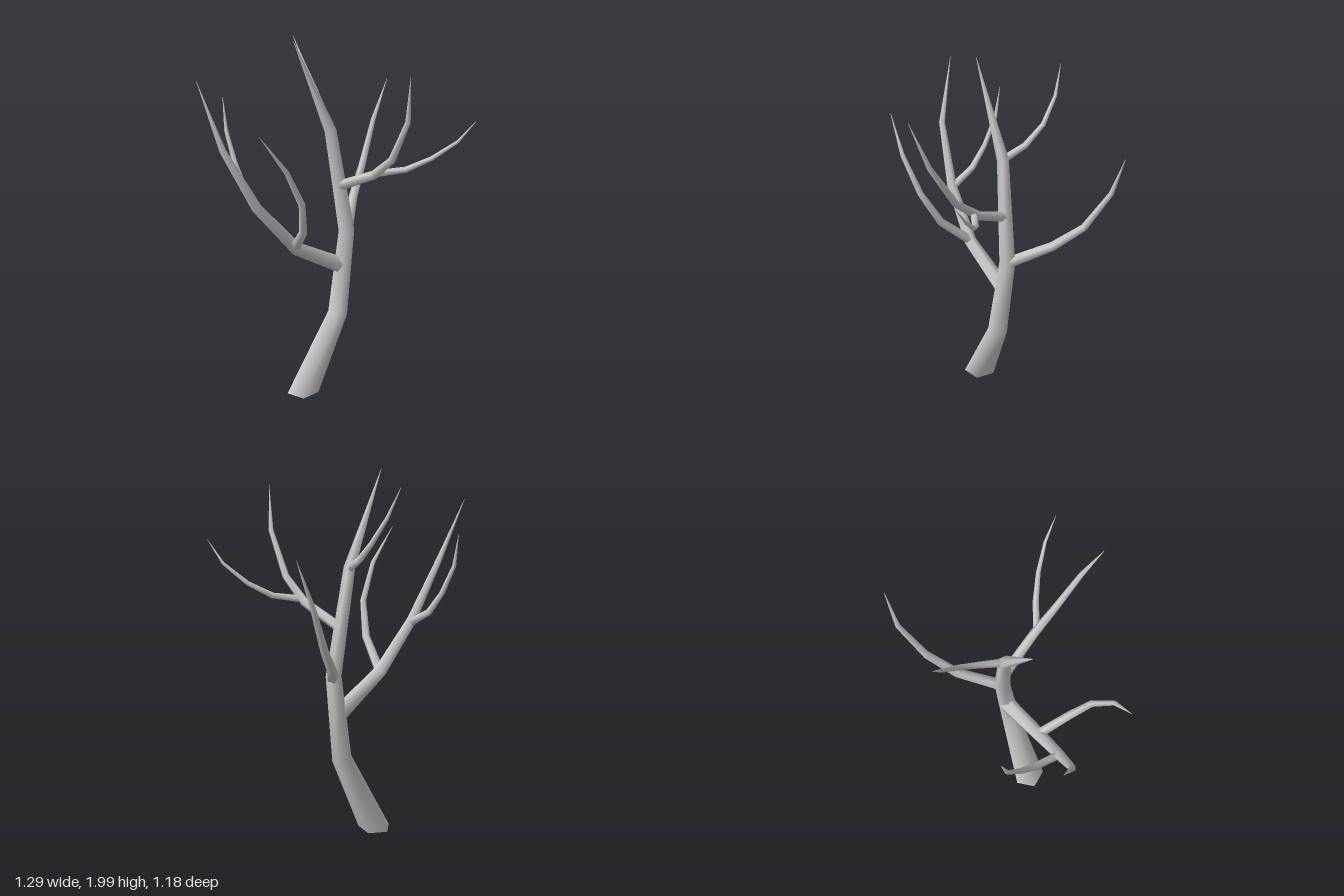
import * as THREE from 'three';

const SIDES = 5;
const bark = new THREE.MeshStandardMaterial({ color: 0xcccccc });

// Tapered five-sided limb through [x, y, z, radius] points, ending in a sharp tip
function limb(name, points, phase = 0, firstNormal = null) {
  const centres = points.map(([x, y, z]) => new THREE.Vector3(x, y, z));
  const last = points.length - 1;
  const pos = [], index = [];
  let ref = new THREE.Vector3(1, 0, 0);
  centres.forEach((c, i) => {
    // each ring lies across the average of its two neighbouring directions
    const n = new THREE.Vector3();
    if (i > 0) n.add(c.clone().sub(centres[i - 1]).normalize());
    if (i < last) n.add(centres[i + 1].clone().sub(c).normalize());
    if (i === 0 && firstNormal) n.copy(firstNormal);
    n.normalize();
    if (i === 0 && Math.abs(n.x) > 0.8) ref.set(0, 0, 1);
    const u = ref.clone().addScaledVector(n, -ref.dot(n)).normalize();
    const v = n.clone().cross(u);
    ref = u;
    for (let k = 0; k < SIDES; k++) {
      const a = phase + (k / SIDES) * Math.PI * 2;
      const p = c.clone()
        .addScaledVector(u, Math.cos(a) * points[i][3])
        .addScaledVector(v, Math.sin(a) * points[i][3]);
      pos.push(p.x, p.y, p.z);
    }
  });
  for (let i = 0; i < last; i++) {
    for (let k = 0; k < SIDES; k++) {
      const a = i * SIDES + k, b = i * SIDES + (k + 1) % SIDES;
      index.push(a, b, b + SIDES, a, b + SIDES, a + SIDES);
    }
  }
  // flat cap on the thick end, with its own vertices so the rim stays sharp
  const start = pos.length / 3;
  pos.push(...pos.slice(0, SIDES * 3));
  for (let k = 1; k < SIDES - 1; k++) index.push(start, start + k + 1, start + k);

  const g = new THREE.BufferGeometry();
  g.setAttribute('position', new THREE.Float32BufferAttribute(pos, 3));
  g.setIndex(index);
  g.computeVertexNormals();
  const mesh = new THREE.Mesh(g, bark);
  mesh.name = name;
  return mesh;
}

export function createModel() {
  const tree = new THREE.Group();
  tree.name = 'bareTree';

  // Trunk, leaning at the foot and cut level with the ground
  tree.add(limb('trunk', [
    [-0.195, 0, -0.2, 0.092], [0.003, 0.45, -0.107, 0.057], [0.07, 0.93, -0.096, 0.045],
    [0.0, 1.5, -0.145, 0.033], [-0.21, 1.99, -0.2, 0.001],
  ], THREE.MathUtils.degToRad(80), new THREE.Vector3(0, 1, 0)));

  // Main boughs growing from the trunk
  tree.add(limb('lowerRightBough', [
    [0.03, 0.73, -0.11, 0.046], [-0.25, 0.9, -0.185, 0.037], [-0.44, 1.16, -0.27, 0.029],
    [-0.57, 1.48, -0.36, 0.018], [-0.6, 1.82, -0.49, 0.001],
  ]));
  tree.add(limb('leftBough', [
    [0.09, 0.93, -0.1, 0.032], [0.28, 1.04, -0.215, 0.026], [0.43, 1.18, -0.27, 0.021],
    [0.56, 1.41, -0.295, 0.014], [0.64, 1.64, -0.26, 0.001],
  ]));
  tree.add(limb('frontBough', [
    [0.035, 1.19, -0.11, 0.029], [0.028, 1.3, 0.12, 0.025], [0.0, 1.42, 0.26, 0.02],
    [-0.05, 1.65, 0.39, 0.014], [-0.12, 1.89, 0.45, 0.001],
  ]));
  tree.add(limb('backBough', [
    [0.005, 1.5, -0.15, 0.022], [0.07, 1.56, -0.245, 0.018], [0.115, 1.655, -0.34, 0.014],
    [0.125, 1.785, -0.43, 0.01], [0.11, 1.935, -0.495, 0.001],
  ]));

  // Twigs forking off the boughs
  tree.add(limb('frontTwig', [
    [0.028, 1.315, 0.15, 0.02], [0.12, 1.335, 0.26, 0.017], [0.19, 1.4, 0.37, 0.013],
    [0.24, 1.5, 0.49, 0.009], [0.25, 1.62, 0.585, 0.001],
  ]));
  tree.add(limb('rightTwig', [
    [-0.25, 0.91, -0.18, 0.027], [-0.34, 1.06, -0.04, 0.023], [-0.42, 1.24, 0.028, 0.018],
    [-0.53, 1.44, 0.032, 0.013], [-0.65, 1.635, -0.025, 0.001],
  ]));
  tree.add(limb('backTwig', [
    [-0.43, 1.15, -0.275, 0.022], [-0.39, 1.23, -0.405, 0.019], [-0.365, 1.345, -0.49, 0.015],
    [-0.345, 1.5, -0.565, 0.011], [-0.335, 1.67, -0.59, 0.001],
  ]));
  return tree;
}
